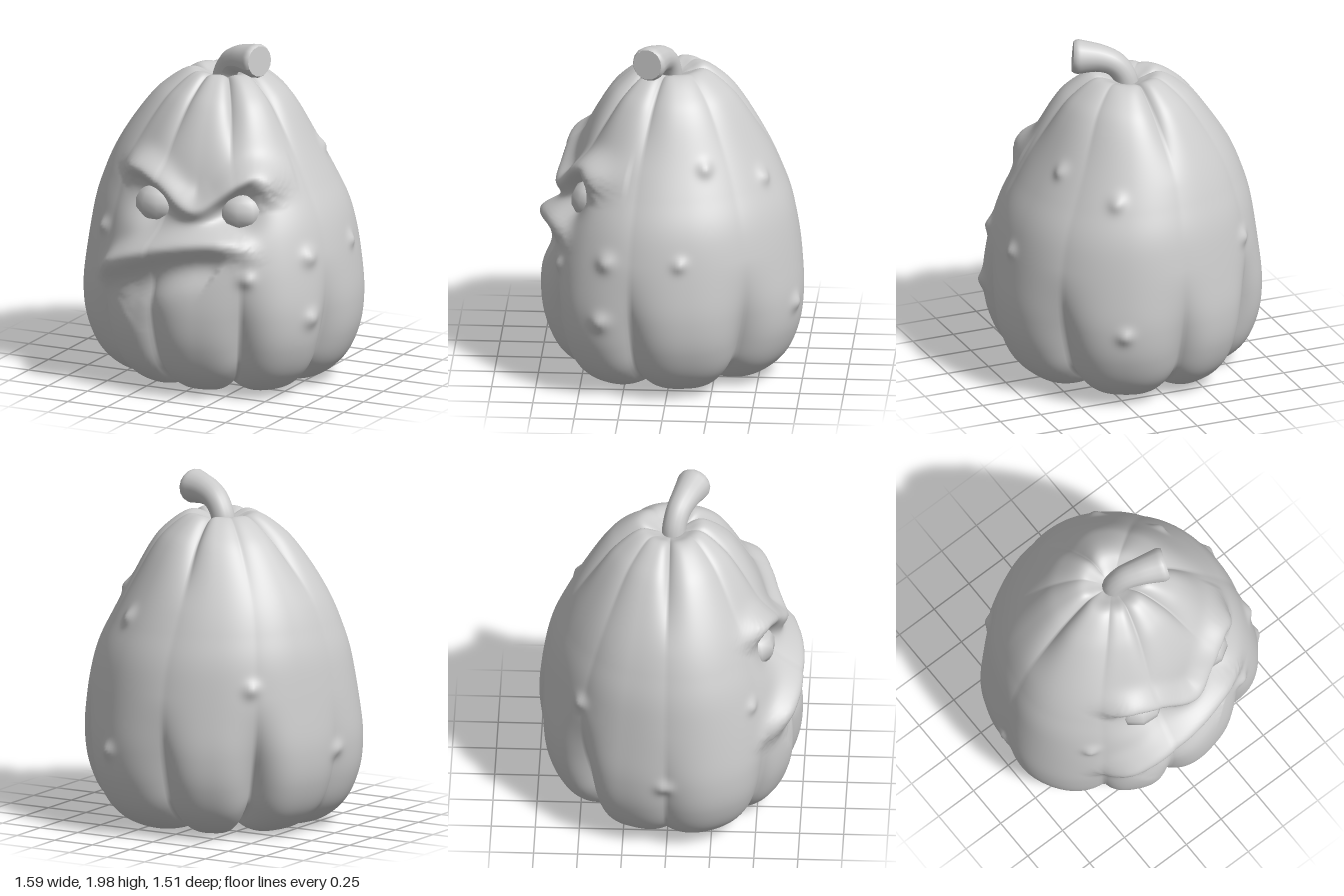
import * as THREE from 'three';

const COLS = 260, ROWS = 200, TAU = Math.PI * 2;
const grey = () => new THREE.MeshStandardMaterial({ color: 0xcccccc });
const v2 = list => list.map(([x, y]) => new THREE.Vector2(x, y));
const gauss = d => Math.exp(-d * d);
const smooth = THREE.MathUtils.smoothstep, lerp = THREE.MathUtils.lerp;
const wrap = a => Math.atan2(Math.sin(a), Math.cos(a));

// Body outline from bottom centre to top centre: [radius, height]
const profile = new THREE.SplineCurve(v2([
  [0.001, 0.09], [0.2, 0.05], [0.38, 0.015], [0.56, 0.05], [0.69, 0.155], [0.765, 0.32], [0.788, 0.5],
  [0.772, 0.7], [0.72, 1.0], [0.645, 1.2], [0.545, 1.4], [0.425, 1.6], [0.33, 1.71], [0.2, 1.795],
  [0.1, 1.77], [0.001, 1.72],
]));

// Grooves: [angle (0 = front, growing towards +x), depth near the foot, depth near the top]
const grooves = [[-0.18, 0.09, 0.05], [0.58, 0.12, 0.08], [1.3, 0.11, 0.06], [2.21, 0.14, 0.02],
  [3.2, 0.12, 0.08], [3.97, 0.2, 0.02], [4.71, 0.05, 0.08], [5.55, 0.07, 0.02], [TAU - 0.18, 0.09, 0.05]];
// Reach of the lobes: [angle, factor]
const reach = [[-0.48, 0.94], [0.2, 0.955], [0.94, 1.05], [1.75, 1.01], [2.72, 0.99], [3.6, 0.94],
  [4.35, 0.97], [5.0, 1.03], [5.8, 0.95], [6.48, 0.955]];

// Face lines in front projection
const lipLine = new THREE.SplineCurve(v2([[-0.54, 0.59], [-0.46, 0.69], [-0.33, 0.79], [-0.13, 0.88],
  [0.08, 0.94], [0.28, 0.96], [0.4, 0.91], [0.46, 0.8]])).getSpacedPoints(80);
const browLine = new THREE.SplineCurve(v2([[-0.43, 1.2], [-0.35, 1.28], [-0.25, 1.315], [-0.14, 1.265],
  [0, 1.165], [0.11, 1.13], [0.21, 1.19], [0.3, 1.28], [0.38, 1.315], [0.46, 1.24], [0.49, 1.11]]))
  .getSpacedPoints(80);
const eyes = [{ name: 'rightEye', x: -0.185, y: 1.1, z: 0.48, w: 0.14 },
  { name: 'leftEye', x: 0.33, y: 1.1, z: 0.44, w: 0.135 }];

// Warts: [angle, height, size]
const warts = [[-0.83, 0.92, 0.04], [0.62, 0.75, 0.045], [1.95, 1.36, 0.04], [1.68, 0.86, 0.04],
  [1.1, 0.5, 0.05], [1.12, 0.85, 0.05], [2.72, 0.5, 0.045], [2.6, 1.25, 0.045],
  [3.93, 0.9, 0.045], [4.7, 0.5, 0.045]];

function lobe(a) {
  if (a > grooves.at(-1)[0]) a -= TAU;
  let i = 0, k = 0;
  while (a > grooves[i + 1][0]) i++;
  while (k < reach.length - 2 && a > reach[k + 1][0]) k++;
  const u = (a - grooves[i][0]) / (grooves[i + 1][0] - grooves[i][0]);
  const [, low, high] = grooves[u < 0.5 ? i : i + 1];
  const s = smooth(a, reach[k][0], reach[k + 1][0]);
  return { groove: Math.abs(2 * u - 1) ** 3, low, high, size: lerp(reach[k][1], reach[k + 1][1], s) };
}

// Nearest sample on a line: distance, height above it and position along it
function nearest(line, x, y) {
  let d = 1e9, n = 0;
  line.forEach((p, i) => {
    const e = Math.hypot(p.x - x, p.y - y);
    if (e < d) { d = e; n = i; }
  });
  return { d, above: y - line[n].y, t: n / (line.length - 1) };
}

// Raised roll along a line, with its own width above and below, fading at both ends
function roll({ d, above, t }, upper, lower, fade) {
  const width = lerp(lower, upper, smooth(above, -0.04, 0.04));
  return smooth(Math.min(t, 1 - t), -0.02, fade) * gauss(d / width);
}

function bodyPoint(a, p) {
  const { groove, low, high, size } = lobe(a);
  const front = wrap(a), face = gauss((p.y - 1.1) / 0.26) * gauss((front - 0.08) / 0.75);
  const foot = 1 - smooth(p.y, 0.25, 0.85), top = smooth(p.y, 1.3, 1.75);
  const ring = smooth(p.x, 0.05, 0.55), crown = smooth(p.x, 0.02, 0.25);
  const depth = (0.015 + low * foot * ring + high * top) * (1 - face);
  let r = p.x * size * (1 - depth * groove) * (1 - 0.09 * face);
  const y = p.y + groove * (0.45 * low * ring * (1 - smooth(p.y, 0.03, 0.3)) - 0.45 * high * top * crown);
  const shift = -0.03 * gauss((y - 1.35) / 0.3);

  if (Math.abs(front) < 1.2 && y > 0.4 && y < 1.6) {
    const x = Math.sin(a) * r + shift;
    // Sunken eye sockets
    for (const e of eyes) r -= 0.085 * gauss(Math.hypot(x - e.x, (y - e.y) * 1.15) / 0.13);
    // Angry brow
    r += 0.085 * roll(nearest(browLine, x, y), 0.07, 0.07, 0.18);
    // Frowning lip with a shallow hollow below
    const l = nearest(lipLine, x, y);
    r += 0.095 * roll(l, 0.065, 0.085, 0.25);
    r -= 0.03 * smooth(Math.min(l.t, 1 - l.t), 0, 0.3) * gauss((l.above + 0.17) / 0.08);
  }
  for (const [wa, wy, s] of warts) {
    r += s * 0.6 * gauss(Math.hypot(wrap(a - wa) * r, y - wy) / s);
  }
  return [Math.sin(a) * r + shift, y, Math.cos(a) * r];
}

function createBody() {
  const position = [], index = [];
  profile.getSpacedPoints(ROWS).forEach((p, j) => {
    for (let i = 0; i < COLS; i++) {
      position.push(...bodyPoint(i / COLS * TAU, p));
      if (j === ROWS) continue;
      const a = j * COLS + i, b = j * COLS + (i + 1) % COLS;
      index.push(a, b, b + COLS, a, b + COLS, a + COLS);
    }
  });
  const geo = new THREE.BufferGeometry();
  geo.setAttribute('position', new THREE.Float32BufferAttribute(position, 3));
  geo.setIndex(index);
  geo.computeVertexNormals();
  const mesh = new THREE.Mesh(geo, grey());
  mesh.name = 'body';
  return mesh;
}

// Bent stem that widens towards its cut end, which has a rounded rim
function createStem() {
  const stem = new THREE.Group();
  stem.name = 'stem';
  const path = new THREE.CatmullRomCurve3([[-0.01, 1.68, 0.015], [0.01, 1.78, 0.02], [0.06, 1.85, 0.04],
    [0.14, 1.885, 0.075], [0.28, 1.898, 0.13]].map(p => new THREE.Vector3(...p)));
  const N = 40, SIDES = 16;
  const radiusAt = t => (0.072 - 0.008 * Math.sin(t * Math.PI) + 0.034 * t * t)
    * (1 - 0.18 * Math.max(0, (t - 0.88) / 0.12) ** 3);
  const geo = new THREE.TubeGeometry(path, N, 1, SIDES);
  const pos = geo.attributes.position, v = new THREE.Vector3();
  for (let i = 0; i < pos.count; i++) {
    const t = Math.floor(i / (SIDES + 1)) / N, c = path.getPointAt(t);
    v.fromBufferAttribute(pos, i).sub(c).multiplyScalar(radiusAt(t)).add(c);
    pos.setXYZ(i, v.x, v.y, v.z);
  }
  geo.computeVertexNormals();
  const stalk = new THREE.Mesh(geo, grey());
  stalk.name = 'stemStalk';
  const cut = new THREE.Mesh(new THREE.CircleGeometry(radiusAt(1), SIDES), grey());
  cut.name = 'stemCut';
  cut.position.copy(path.getPointAt(1));
  cut.lookAt(cut.position.clone().add(path.getTangentAt(1)));
  stem.add(stalk, cut);
  return stem;
}

export function createModel() {
  const model = new THREE.Group();
  model.name = 'grumpyPumpkin';
  model.add(createBody(), createStem());
  // Coarse eyeballs
  for (const e of eyes) {
    const eye = new THREE.Mesh(new THREE.SphereGeometry(1, 9, 7), grey());
    eye.name = e.name;
    eye.scale.set(e.w, 0.115, 0.12);
    eye.position.set(e.x, e.y, e.z);
    eye.rotation.y = e.x * 1.2;
    model.add(eye);
  }
  return model;
}
